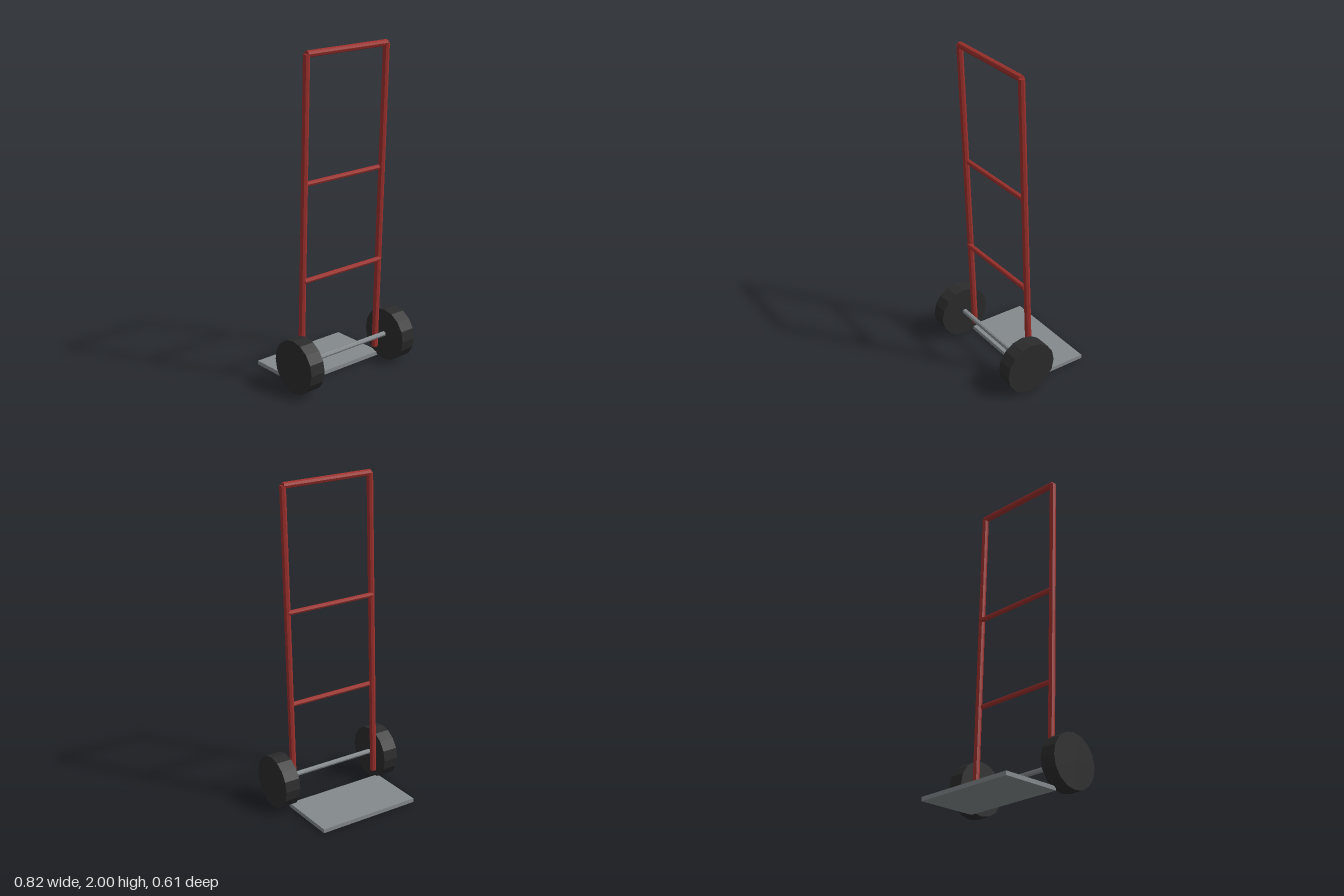
import * as THREE from 'three';

const paint = (color) => new THREE.MeshStandardMaterial({ color, flatShading: true });

export function createModel() {
  const model = new THREE.Group();
  model.name = 'handTruck';
  const red = paint(0x9c302c), steel = paint(0x84898c), rubber = paint(0x2b2b2b);

  const add = (name, geometry, material, x, y, z) => {
    const mesh = new THREE.Mesh(geometry, material);
    mesh.name = name;
    mesh.position.set(x, y, z);
    model.add(mesh);
    return mesh;
  };
  // Cylinder lying along x
  const crossBar = (name, radius, length, sides, material, x, y, z) =>
    add(name, new THREE.CylinderGeometry(radius, radius, length, sides).rotateZ(Math.PI / 2), material, x, y, z);

  // Leaning side rails and wheels, mirrored
  const bottom = new THREE.Vector3(0, 0.07, 0.073);
  const top = new THREE.Vector3(0, 1.98, 0.14);
  const lean = top.clone().sub(bottom);
  const mid = top.clone().add(bottom).multiplyScalar(0.5);
  for (const [side, s] of [['left', 1], ['right', -1]]) {
    const rail = add(side + 'Rail', new THREE.CylinderGeometry(0.0197, 0.0197, lean.length(), 8), red, s * 0.297, mid.y, mid.z);
    rail.rotation.x = Math.atan2(lean.z, lean.y);
    crossBar(side + 'Wheel', 0.165, 0.098, 16, rubber, s * 0.362, 0.165, 0.139);
  }

  // Handle, rungs and axle
  crossBar('handle', 0.0197, 0.594, 8, red, 0, 1.98, 0.14);
  for (const y of [0.66, 1.24]) crossBar('rung', 0.0155, 0.594, 8, red, 0, y, 0.1055);
  crossBar('axle', 0.0155, 0.66, 8, steel, 0, 0.17, 0.139);

  // Toe plate
  add('toePlate', new THREE.BoxGeometry(0.66, 0.025, 0.38), steel, 0, 0.0135, -0.117);

  return model;
}
